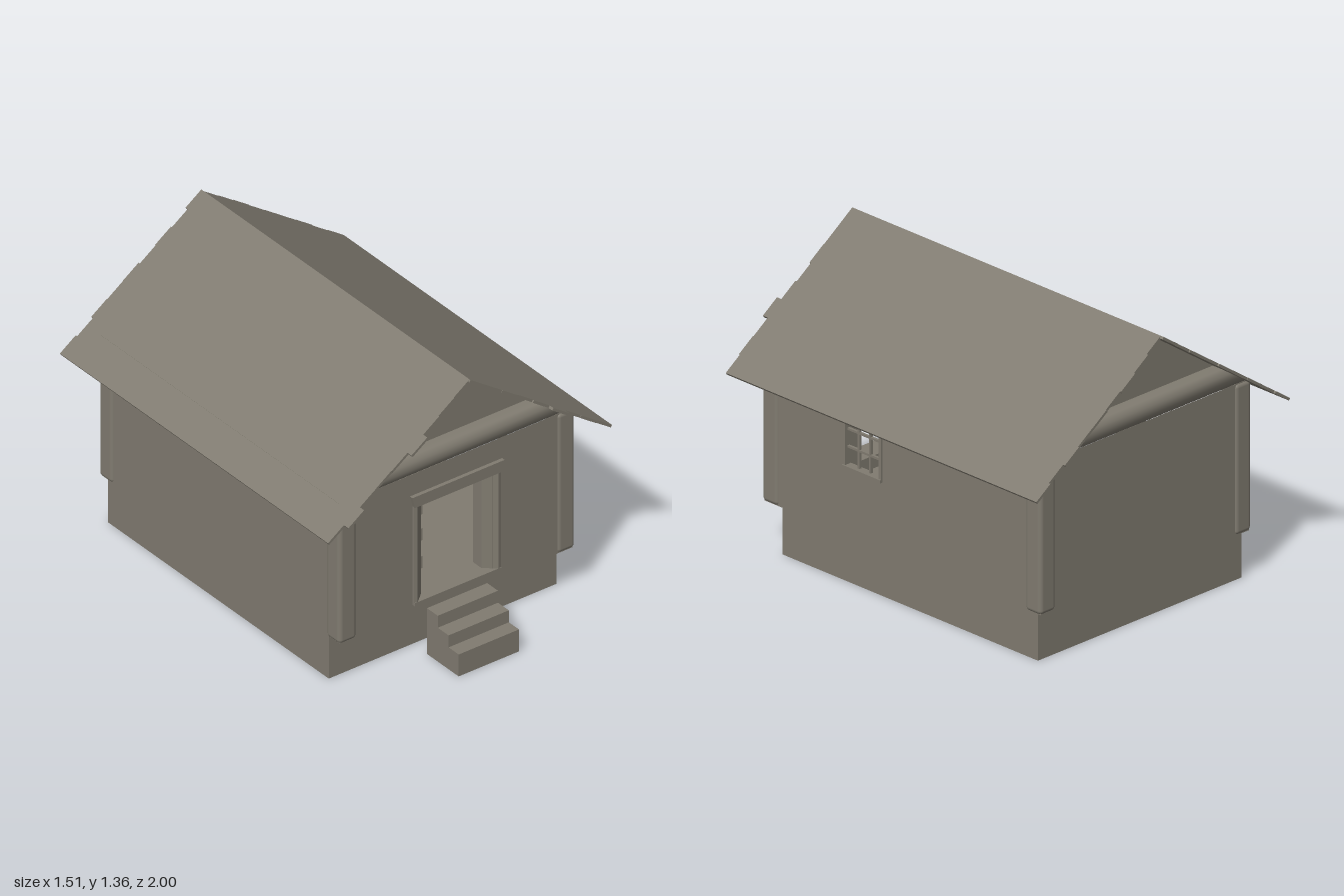
import * as THREE from 'three';
import { RoundedBoxGeometry } from 'three/addons/geometries/RoundedBoxGeometry.js';

const clay = new THREE.MeshStandardMaterial({ color: 0x807b70 });
clay.name = 'warm grey clay';
const clayThin = clay;

function add(parent, name, geometry, x = 0, y = 0, z = 0) {
  const m = new THREE.Mesh(geometry, clayThin);
  m.name = name;
  m.position.set(x, y, z);
  parent.add(m);
  return m;
}

// Box given by its limits on each axis
function box(parent, name, x0, x1, y0, y1, z0, z1) {
  return add(parent, name, new THREE.BoxGeometry(x1 - x0, y1 - y0, z1 - z0),
    (x0 + x1) / 2, (y0 + y1) / 2, (z0 + z1) / 2);
}

function rect(Type, x0, x1, y0, y1) {
  const s = new Type();
  s.moveTo(x0, y0);
  s.lineTo(x1, y0);
  s.lineTo(x1, y1);
  s.lineTo(x0, y1);
  s.closePath();
  return s;
}

// One-sided wall with an optional opening
function wall(parent, name, x0, x1, hole) {
  const s = rect(THREE.Shape, x0, x1, 0.225, 0.925);
  if (hole) s.holes.push(rect(THREE.Path, ...hole));
  return add(parent, name, new THREE.ShapeGeometry(s));
}

const APEX = 1.355, SLOPE = 0.695;

// Gable: bulging beam at the foot, set-back triangle above, cut to the roof slope
function gableGeometry(rows) {
  const pos = [], idx = [];
  for (const [y, z] of rows) {
    const w = Math.max(0, (APEX - 0.012 - y) / SLOPE);
    pos.push(-w, y, z, w, y, z);
  }
  for (let i = 0; i < rows.length - 1; i++) {
    const a = i * 2;
    idx.push(a, a + 1, a + 3, a, a + 3, a + 2);
  }
  const g = new THREE.BufferGeometry();
  g.setAttribute('position', new THREE.Float32BufferAttribute(pos, 3));
  g.setIndex(idx);
  g.computeVertexNormals();
  return g;
}

export function createModel() {
  const model = new THREE.Group();
  model.name = 'cottage';

  // Foundation and steps
  box(model, 'foundation', -0.61, 0.6, 0, 0.226, -0.85, 0.68);
  [[0.11, 1.0], [0.17, 0.93], [0.23, 0.855]].forEach(([h, z], i) =>
    box(model, 'step' + (i + 1), -0.165, 0.155, i ? [0, 0.11, 0.17][i] : 0, h, 0.78, z));

  // Walls
  const walls = new THREE.Group();
  walls.name = 'walls';
  model.add(walls);
  wall(walls, 'frontWall', -0.62, 0.615, [-0.2, 0.19, 0.275, 0.79]).position.z = 0.772;
  const back = wall(walls, 'backWall', -0.615, 0.62);
  back.rotation.y = Math.PI;
  back.position.z = -0.882;
  const right = wall(walls, 'windowWall', -0.772, 0.882, [-0.285, -0.075, 0.545, 0.8]);
  right.rotation.y = Math.PI / 2;
  right.position.x = 0.615;
  const left = wall(walls, 'plainWall', -0.882, 0.772);
  left.rotation.y = -Math.PI / 2;
  left.position.x = -0.62;

  // Underside of the walls where they overhang the foundation
  const under = rect(THREE.Shape, -0.62, 0.615, -0.772, 0.882);
  under.holes.push(rect(THREE.Path, -0.6, 0.59, -0.67, 0.84));
  add(walls, 'wallUnderside', new THREE.ShapeGeometry(under), 0, 0.226, 0).rotation.x = Math.PI / 2;
  walls.children.at(-1).scale.y = 1;
  walls.children.at(-1).geometry.scale(1, -1, 1);
  const index = walls.children.at(-1).geometry.index.array;
  for (let i = 0; i < index.length; i += 3) [index[i], index[i + 1]] = [index[i + 1], index[i]];

  // Corner posts
  for (const x of [-0.5825, 0.5775])
    for (const z of [0.7325, -0.8425])
      add(model, 'cornerPost', new RoundedBoxGeometry(0.095, 0.7, 0.095, 4, 0.02), x, 0.575, z);

  // Gables
  const profile = [[0.925, 0.825], [0.945, 0.848], [0.975, 0.862], [1.005, 0.858], [1.03, 0.84], [1.032, 0.79]];
  for (const end of [0, 1]) {
    const gable = new THREE.Group();
    gable.name = end ? 'backGable' : 'frontGable';
    gable.position.z = -0.055;
    gable.rotation.y = end * Math.PI;
    add(gable, 'gableBeam', gableGeometry(profile));
    add(gable, 'gablePanel', gableGeometry([[1.03, 0.79], [1.343, 0.79]]));
    model.add(gable);
  }

  // Roof planks with slightly uneven ends
  let seed = 7;
  const rand = () => (seed = (seed * 16807) % 2147483647) / 2147483647;
  const COUNT = 9, run = 0.755, len = run * Math.hypot(1, SLOPE), w = len / COUNT;
  for (const side of [-1, 1]) {
    const slope = new THREE.Group();
    slope.name = side < 0 ? 'roofSlopeRight' : 'roofSlopeLeft';
    slope.position.y = APEX;
    slope.rotation.z = -side * Math.atan(SLOPE);
    for (let i = 0; i < COUNT; i++) {
      const long = side < 0 ? i === 3 || i === 7 : i === 5;
      const z1 = long ? 0.895 : 0.86 + rand() * 0.01, z0 = -0.98 - rand() * 0.02;
      const a = i * w, b = a + w;
      box(slope, 'roofPlank', Math.min(side * a, side * b), Math.max(side * a, side * b), -0.012, 0, z0, z1);
    }
    model.add(slope);
  }

  // Door frame
  const frame = new THREE.Group();
  frame.name = 'doorFrame';
  model.add(frame);
  for (const side of [-1, 1]) {
    // jamb splayed inward to the opening
    const s = new THREE.Shape([[0.23, -0.783], [0.215, -0.787], [0.16, -0.74], [0.16, -0.68], [0.23, -0.68]]
      .map(([x, z]) => new THREE.Vector2(side * x, z)));
    const g = new THREE.ExtrudeGeometry(s, { depth: 0.49, bevelEnabled: false });
    g.rotateX(-Math.PI / 2).scale(1, 1, 1);
    g.rotateZ(0);
    const p = g.attributes.position;
    for (let i = 0; i < p.count; i++) p.setZ(i, Math.abs(p.getZ(i)));
    add(frame, 'doorJamb', g, -0.005, 0.275, 0);
  }
  box(frame, 'doorSill', -0.235, 0.225, 0.27, 0.285, 0.68, 0.787);
  const lintel = new THREE.Shape([[-0.235, 0.765], [0.225, 0.765], [0.24, 0.82], [-0.25, 0.82]]
    .map(([x, y]) => new THREE.Vector2(x, y)));
  add(frame, 'doorLintel', new THREE.ExtrudeGeometry(lintel, { depth: 0.11, bevelEnabled: false }), 0, 0, 0.68);

  // Door standing open into the room
  const door = new THREE.Group();
  door.name = 'openDoor';
  model.add(door);
  box(door, 'doorLeaf', -0.163, -0.135, 0.287, 0.763, 0.38, 0.69);
  for (const y of [0.36, 0.5, 0.63]) box(door, 'doorBatten', -0.135, -0.112, y, y + 0.06, 0.39, 0.68);
  add(door, 'doorHandle', new THREE.TorusGeometry(0.035, 0.006, 6, 16, Math.PI), -0.125, 0.56, 0.42)
    .rotation.z = -Math.PI / 2;

  // Post inside the room
  add(model, 'innerPost', new THREE.CylinderGeometry(0.062, 0.062, 0.7, 16), -0.003, 0.575, -0.8);

  // Window with a three by three grid
  const win = new THREE.Group();
  win.name = 'window';
  model.add(win);
  for (const z of [0.065, 0.28]) box(win, 'windowStile', 0.59, 0.624, 0.535, 0.81, z, z + 0.015);
  box(win, 'windowHead', 0.59, 0.624, 0.795, 0.81, 0.065, 0.295);
  box(win, 'windowSill', 0.59, 0.631, 0.535, 0.55, 0.065, 0.295);
  for (const t of [1 / 3, 2 / 3]) {
    const z = 0.08 + 0.2 * t, y = 0.55 + 0.245 * t;
    box(win, 'windowBarUpright', 0.597, 0.611, 0.545, 0.8, z - 0.005, z + 0.005);
    box(win, 'windowBarCross', 0.598, 0.61, y - 0.005, y + 0.005, 0.075, 0.285);
  }
  return model;
}
